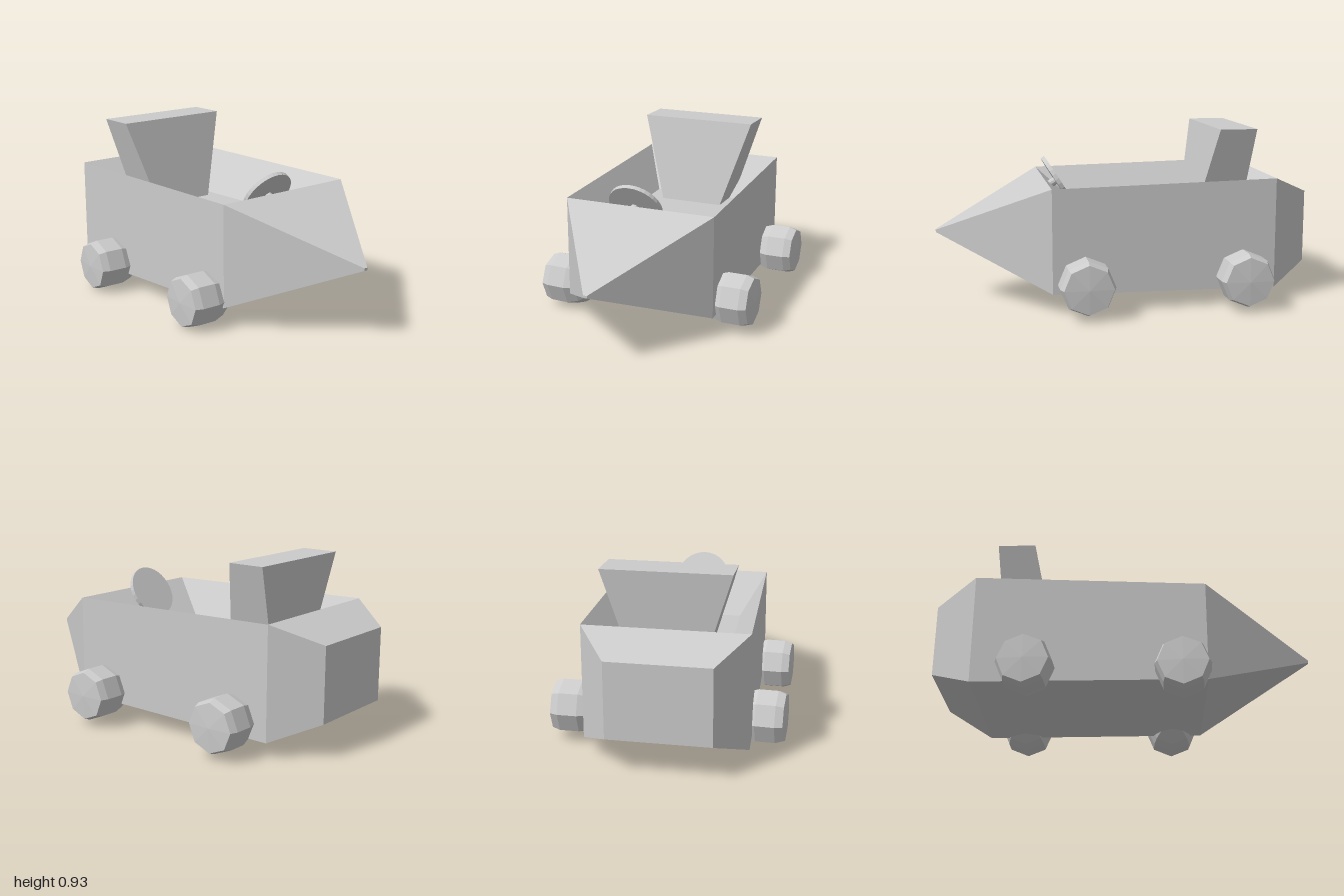
import * as THREE from 'three';

const material = new THREE.MeshStandardMaterial({ color: 0xcccccc, flatShading: true });

function part(name, geometry, parent) {
  const mesh = new THREE.Mesh(geometry, material);
  mesh.name = name;
  parent.add(mesh);
  return mesh;
}

// Flat four-sided faces, corners counter-clockwise
function quads(list) {
  const points = list.flatMap(([a, b, c, d]) => [a, b, c, a, c, d]);
  const g = new THREE.BufferGeometry();
  g.setAttribute('position', new THREE.Float32BufferAttribute(points.flat(), 3));
  g.computeVertexNormals();
  return g;
}

// Rectangular section across the body at x
const section = (x, y0, y1, z0, z1) => [[x, y1, z1], [x, y0, z1], [x, y0, z0], [x, y1, z0]];

function bodyGeometry() {
  const rings = [
    section(-1, 0.18, 0.57, -0.22, 0.30),
    section(-0.78, 0.08, 0.67, -0.385, 0.445),
    section(0.42, 0.11, 0.655, -0.44, 0.39),
    section(1, 0.375, 0.388, -0.03, -0.01),
  ];
  const [tail, back, front, nose] = rings;
  const faces = [[...tail].reverse(), nose];
  for (let r = 0; r < 3; r++) {
    for (let i = 0; i < 4; i++) {
      if (r === 1 && i === 3) continue; // cockpit opening
      const j = (i + 1) % 4;
      faces.push([rings[r][i], rings[r][j], rings[r + 1][j], rings[r + 1][i]]);
    }
  }
  // Sloping cockpit walls and floor
  const rim = [back[3], back[0], front[0], front[3]];
  const floor = [[-0.56, 0.45, -0.215], [-0.56, 0.45, 0.295], [0.195, 0.45, 0.265], [0.195, 0.45, -0.25]];
  faces.push(floor);
  for (let i = 0; i < 4; i++) {
    const j = (i + 1) % 4;
    faces.push([rim[i], rim[j], floor[j], floor[i]]);
  }
  return quads(faces);
}

// Seat back: a box that widens and thins towards the top
function seatGeometry() {
  const g = new THREE.BoxGeometry(1, 1, 1);
  const p = g.attributes.position;
  for (let i = 0; i < p.count; i++) {
    const top = p.getY(i) > 0;
    const frontSide = p.getX(i) > 0;
    const x = frontSide ? (top ? -0.49 : -0.395) : (top ? -0.69 : -0.65);
    const z = 0.015 + p.getZ(i) * (top ? 0.655 : 0.36);
    p.setXYZ(i, x, top ? 0.925 : 0.45, z);
  }
  g.computeVertexNormals();
  return g;
}

// Eight-sided wheel, axis along z, outer side towards +z
function wheelGeometry() {
  const profile = [[0, -0.19], [0.06, -0.19], [0.122, -0.1], [0.142, -0.04],
    [0.142, 0.06], [0.128, 0.1], [0, 0.108]];
  return new THREE.LatheGeometry(profile.map(([r, y]) => new THREE.Vector2(r, y)), 8)
    .rotateX(Math.PI / 2);
}

export function createModel() {
  const model = new THREE.Group();
  model.name = 'cart';
  part('body', bodyGeometry(), model);
  part('seat', seatGeometry(), model);

  const wheel = wheelGeometry();
  for (const [name, x, y, z, turn] of [
    ['rearNearWheel', -0.495, 0.142, 0.495, -0.05],
    ['frontNearWheel', 0.29, 0.142, 0.46, -0.05],
    ['rearFarWheel', -0.585, 0.165, -0.48, Math.PI],
    ['frontFarWheel', 0.255, 0.167, -0.503, Math.PI],
  ]) {
    const m = part(name, wheel, model);
    m.position.set(x, y, z);
    m.rotation.y = turn;
  }

  // Tilted steering wheel on a short column
  const steering = new THREE.Group();
  steering.name = 'steering';
  steering.position.set(0.338, 0.632, 0.028);
  steering.rotation.z = 1.015;
  model.add(steering);
  part('steeringWheel', new THREE.CylinderGeometry(0.146, 0.146, 0.022, 32), steering);
  part('steeringColumn', new THREE.CylinderGeometry(0.022, 0.022, 0.1, 12), steering).position.y = -0.05;
  return model;
}
